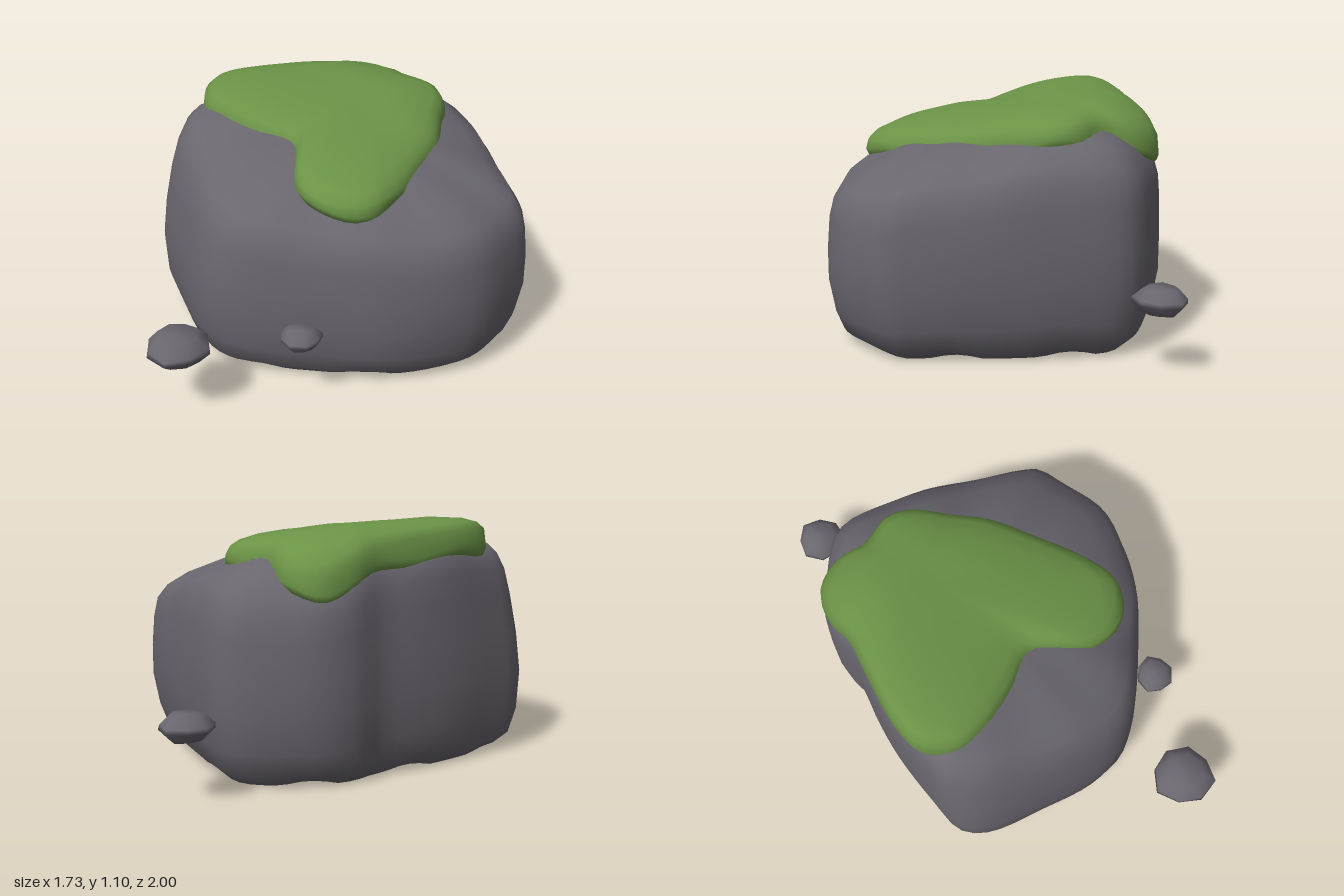
import * as THREE from 'three';

const stone = new THREE.MeshStandardMaterial({ color: 0x69666e });
stone.name = 'grey stone';
const green = new THREE.MeshStandardMaterial({ color: 0x6b9347 });
green.name = 'moss green';

// Smoothly resample a closed outline of [x, z] pairs
function resample(pairs, n) {
  const curve = new THREE.CatmullRomCurve3(pairs.map(([x, z]) => new THREE.Vector3(x, 0, z)), true, 'centripetal');
  return curve.getSpacedPoints(n).slice(0, n);
}

// Skin stacked closed rings, given from bottom to top
function loft(rings) {
  const n = rings[0].length, pos = [], idx = [];
  rings.forEach((ring, i) => ring.forEach((p, j) => {
    pos.push(p.x, p.y, p.z);
    if (i === rings.length - 1) return;
    const a = i * n + j, b = i * n + (j + 1) % n, c = b + n, d = a + n;
    idx.push(a, d, c, a, c, b);
  }));
  const geo = new THREE.BufferGeometry();
  geo.setAttribute('position', new THREE.Float32BufferAttribute(pos, 3));
  geo.setIndex(idx);
  geo.computeVertexNormals();
  return geo;
}

function addMesh(group, name, geo, mat) {
  const mesh = new THREE.Mesh(geo, mat);
  mesh.name = name;
  group.add(mesh);
}

// The sloping top rolls off towards the back
const droop = z => 1.2 * Math.max(0, -z - 0.45) ** 2;
// How far a point lies towards the back left side
const backLeft = (x, z) => Math.max(0, -0.6 * x - 0.8 * z);

// Small irregular pebble with a flattened, faceted profile
function pebble(cx, cy, cz, rx, ry, rz, seed) {
  const n = 8;
  const profile = [[0, -1], [0.6, -0.95], [0.98, -0.15], [0.96, 0.2], [0.62, 0.92], [0, 1]];
  return loft(profile.map(([s, h], k) => Array.from({ length: n }, (_, j) => {
    const a = (j + seed * 0.3) / n * Math.PI * 2;
    const r = s * (1 + 0.07 * Math.sin(j * 2.3 + seed * 1.7 + k * 0.4));
    const y = h * (1 + (s > 0 ? 0.06 * Math.sin(j * 1.9 + seed) : 0));
    return new THREE.Vector3(cx + rx * r * Math.cos(a), cy + ry * y, cz + rz * r * Math.sin(a));
  })));
}

export function createModel() {
  const group = new THREE.Group();
  group.name = 'mossyBoulder';

  // Boulder: a rounded five-sided outline, tapered on the left, with a sloping top
  const outline = resample([
    [-0.88, -0.15], [-0.85, -0.24], [-0.71, -0.355], [-0.5, -0.5], [-0.33, -0.59], [-0.15, -0.67], [-0.05, -0.755],
    [0.05, -0.8], [0.15, -0.82], [0.455, -0.79], [0.545, -0.735], [0.68, -0.45], [0.79, -0.13],
    [0.86, 0.16], [0.87, 0.24], [0.835, 0.31], [0.67, 0.53], [0.48, 0.63], [0.24, 0.68], [-0.02, 0.67],
    [-0.47, 0.6], [-0.6, 0.51], [-0.79, 0.16], [-0.87, -0.05]], 80);
  // [outline scale, part of shoulder height, rise above shoulder]
  const rockProfile = [
    [0, 0, 0], [0.6, 0, 0], [0.85, 0, 0], [0.925, 0.07, 0], [0.97, 0.2, 0], [1, 0.4, 0], [1, 0.6, 0],
    [0.99, 0.8, 0], [0.97, 0.92, 0], [0.93, 1, 0], [0.84, 1, 0.05], [0.65, 1, 0.105], [0.4, 1, 0.125],
    [0.2, 1, 0.13], [0, 1, 0.13]];
  const rockRing = ([s, t, rise]) => outline.map((p, j) => {
    const wobble = t > 0 && s > 0.5 && s < 0.99 ? 0.005 * Math.sin(j * 0.8 + t * 7) : 0;
    // the upper edge leans in all round, except at the back left
    const lean = t >= 0.8 ? (0.35 - 1.2 * backLeft(p.x, p.z)) * (1 - s) * s : 0;
    const r = s - lean + wobble;
    let x = p.x * r;
    const z = -0.05 + (p.z + 0.05) * r;
    if (x < 0) x *= 1 - 0.13 * t * t * THREE.MathUtils.clamp((z + 0.5) / 0.3, 0, 1);
    const shoulder = 0.82 - 0.08 * x - 0.16 * z - droop(z);
    const chip = t === 0 && s > 0.8 ? 0.02 * Math.max(0, Math.sin(j * 0.7)) : 0;
    return new THREE.Vector3(x, t * shoulder + rise + wobble * 0.8 + chip, z);
  });
  addMesh(group, 'boulder', loft(rockProfile.map(rockRing)), stone);

  // Moss: a three-lobed cushion lying over the sloping top
  const patch = resample([
    [0.14, -0.805], [0.27, -0.73], [0.33, -0.6], [0.46, -0.5], [0.505, -0.38], [0.485, -0.2], [0.465, -0.02],
    [0.38, 0.2], [0.32, 0.34], [0.25, 0.46], [0.17, 0.55], [0.06, 0.575], [-0.08, 0.53], [-0.17, 0.41],
    [-0.185, 0.25], [-0.2, 0.14], [-0.39, 0.04], [-0.56, -0.08], [-0.65, -0.2], [-0.645, -0.35],
    [-0.55, -0.45], [-0.3, -0.58], [-0.13, -0.66], [-0.02, -0.75]], 80);
  // [outline scale, height over the slope]
  const mossProfile = [
    [0.7, -0.17], [0.9, -0.15], [0.98, -0.115], [1, -0.08], [0.985, -0.045], [0.94, -0.012],
    [0.85, 0.01], [0.65, 0.028], [0.4, 0.035], [0.2, 0.035], [0, 0.035]];
  addMesh(group, 'moss', loft(mossProfile.map(([s, h]) => patch.map((p, j) => {
    const x = 0.08 + (p.x - 0.08) * s, z = -0.25 + (p.z + 0.25) * s;
    const bump = s > 0.3 ? 0.006 * Math.sin(9 * x + 2) * Math.sin(8 * z) : 0;
    const hem = h < -0.05 ? 0.01 * Math.sin(j * 0.7) - 0.06 * backLeft(p.x, p.z) : 0;
    return new THREE.Vector3(x, 0.98 - 0.09 * x - 0.15 * z - droop(z) + h + bump + hem, z);
  }))), green);

  // Loose stones around the boulder
  [[-0.638, 0.32, 0.855, 0.142, 0.064, 0.148],
    [-0.128, 0.315, 0.76, 0.094, 0.045, 0.09],
    [0.66, 0.32, -0.885, 0.115, 0.055, 0.118]].forEach((p, i) =>
    addMesh(group, 'looseStone' + (i + 1), pebble(...p, i + 1), stone));

  return group;
}
